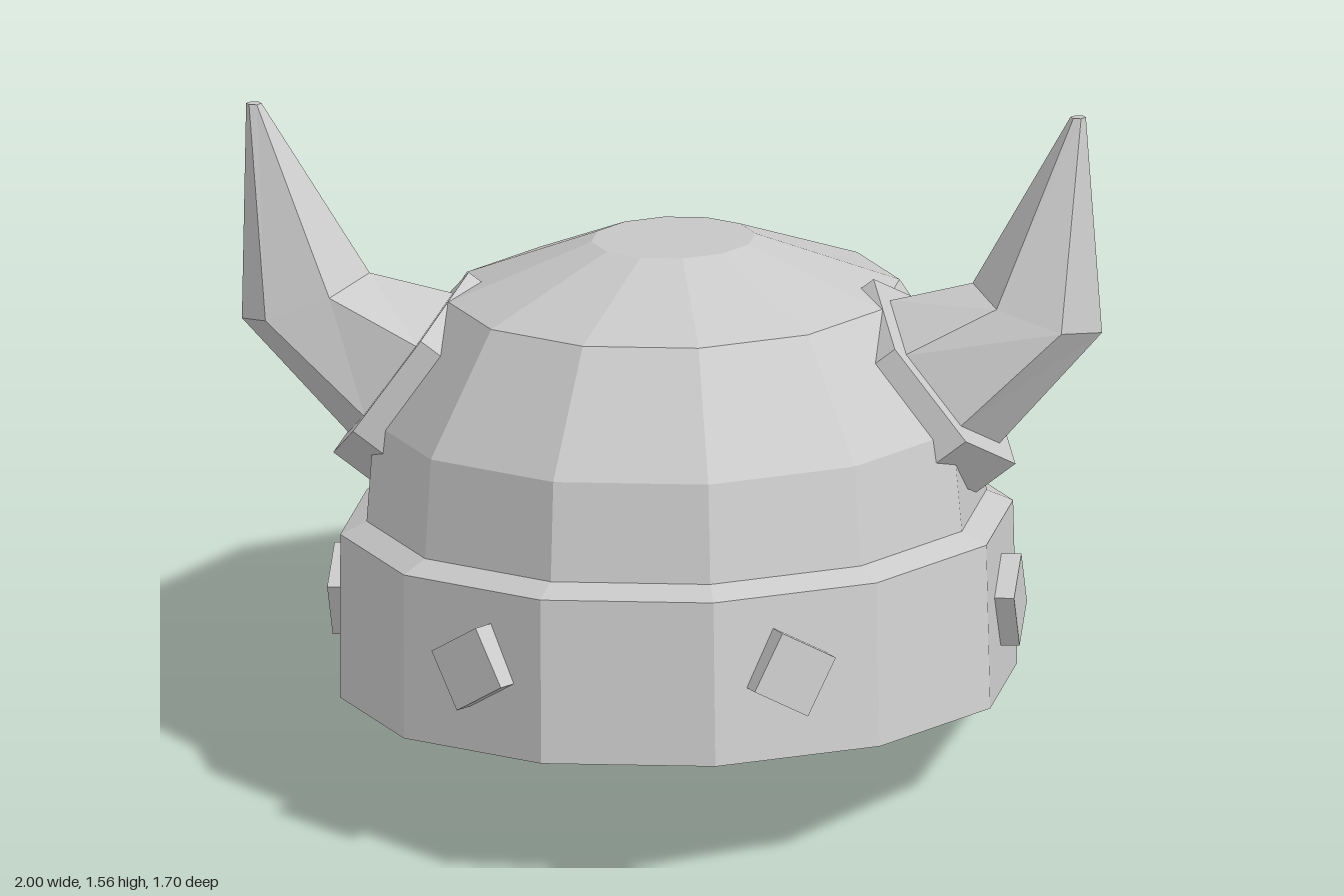
import * as THREE from 'three';

const SIDES = 12;
const STRETCH = 1.09; // the helmet is slightly longer than wide
const SWEEP = -0.042; // rings drift backward as they rise
const material = new THREE.MeshStandardMaterial({ color: 0xcccccc, flatShading: true });

function addMesh(parent, name, geometry) {
  const mesh = new THREE.Mesh(geometry, material);
  mesh.name = name;
  parent.add(mesh);
  return mesh;
}

// Twelve-sided ring or shell from a profile of [radius, height]
function facetedLathe(profile) {
  const points = profile.map(([r, h]) => new THREE.Vector2(r, h));
  const geometry = new THREE.LatheGeometry(points, SIDES, Math.PI / SIDES);
  geometry.scale(1, 1, STRETCH);
  return geometry.applyMatrix4(new THREE.Matrix4().makeShear(0, 0, 0, SWEEP, 0, 0));
}

// Capped hexagonal loft; each ring has a centre, a radius and an axis lean
// from vertical. side = -1 mirrors it across x.
function hexLoft(rings, side) {
  const n = 6;
  const positions = [];
  const index = [];
  for (const { c, r, lean } of rings) {
    for (let k = 0; k < n; k++) {
      const a = (k / n) * Math.PI * 2;
      const u = r * Math.cos(a);
      positions.push(
        side * (c[0] + u * Math.cos(lean)),
        c[1] - u * Math.sin(lean),
        c[2] + side * r * Math.sin(a)
      );
    }
  }
  for (let i = 0; i < rings.length - 1; i++) {
    for (let k = 0; k < n; k++) {
      const a = i * n + k;
      const b = i * n + ((k + 1) % n);
      index.push(a, a + n, b, b, a + n, b + n);
    }
  }
  const top = (rings.length - 1) * n;
  for (let k = 1; k < n - 1; k++) {
    index.push(0, k, k + 1, top, top + k + 1, top + k);
  }
  const geometry = new THREE.BufferGeometry();
  geometry.setAttribute('position', new THREE.Float32BufferAttribute(positions, 3));
  geometry.setIndex(index);
  geometry.computeVertexNormals();
  return geometry;
}

export function createModel() {
  const model = new THREE.Group();
  model.name = 'hornedHelmet';

  // The whole helmet leans back and rolls a little to one side
  const helmet = new THREE.Group();
  helmet.name = 'helmet';
  helmet.position.set(0.047, 0.163, 0.05);
  helmet.rotation.set(-0.192, 0, 0.044, 'ZXY');
  model.add(helmet);

  // Dome, shallow inner lining and brow band
  addMesh(helmet, 'dome', facetedLathe([
    [0.72, 0.385], [0.698, 0.64], [0.522, 0.915], [0.19, 1.04], [0, 1.042],
  ]));
  addMesh(helmet, 'lining', facetedLathe([
    [0, 0.245], [0.5, 0.23], [0.637, -0.016],
  ]));
  addMesh(helmet, 'browBand', facetedLathe([
    [0.637, -0.016], [0.784, 0], [0.779, 0.383], [0.715, 0.412],
  ]));

  // Square studs, tilted, on every second facet of the band
  const studs = [[28.5, -0.5], [90, 0.52], [150, 0.7]];
  for (const side of [1, -1]) {
    for (const [degrees, twist] of studs) {
      const a = THREE.MathUtils.degToRad(degrees) * side;
      const stud = addMesh(helmet, 'stud', new THREE.BoxGeometry(0.15, 0.15, 0.1));
      stud.position.set(Math.sin(a) * 0.75, 0.205, Math.cos(a) * 0.75 * STRETCH);
      stud.rotation.set(0, Math.atan2(Math.sin(a), Math.cos(a) / STRETCH), twist * side, 'YXZ');
    }
  }

  // Horns with hexagonal collars
  for (const side of [1, -1]) {
    const prefix = side > 0 ? 'left' : 'right';
    addMesh(helmet, prefix + 'HornCollar', hexLoft([
      { c: [0.54, 0.675, 0.005], r: 0.27, lean: 0.93 },
      { c: [0.633, 0.745, 0.005], r: 0.27, lean: 0.93 },
    ], side));
    addMesh(helmet, prefix + 'Horn', hexLoft([
      { c: [0.63, 0.742, 0.005], r: 0.21, lean: 0.93 },
      { c: [0.852, 0.9, 0.005], r: 0.16, lean: 0.36 },
      { c: [0.96, 1.363, 0.04], r: 0.018, lean: 0 },
    ], side));
  }

  return model;
}
